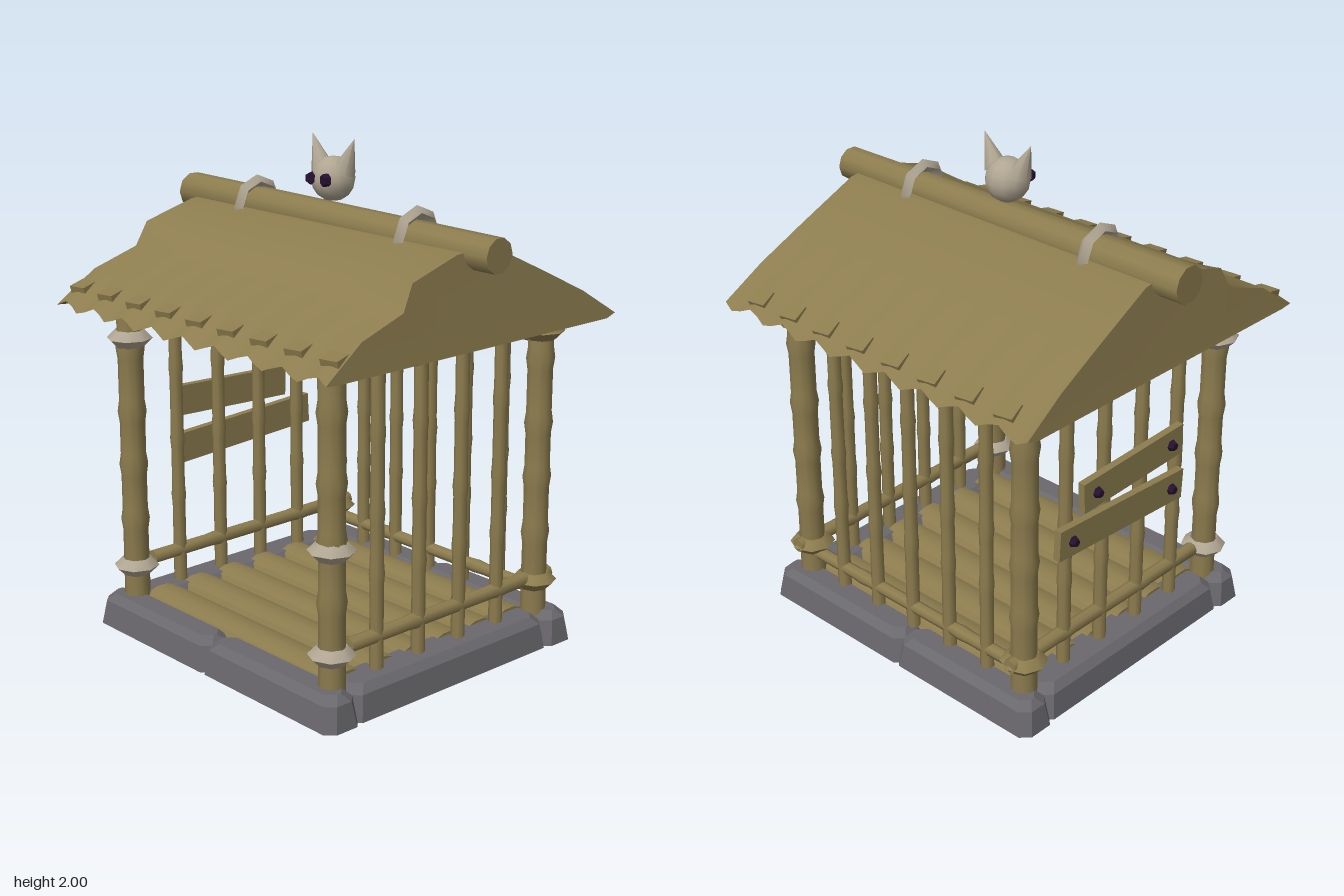
import * as THREE from 'three';
import { toCreasedNormals } from 'three/addons/utils/BufferGeometryUtils.js';

const mat = (name, color) => Object.assign(new THREE.MeshStandardMaterial({ color }), { name });

export function createModel() {
  const root = new THREE.Group();
  const wood = mat('bamboo', 0x8c7c4e);
  const stone = mat('stone', 0x6a686d);
  stone.side = THREE.DoubleSide;
  const bone = mat('bone', 0xb0a592);
  const dark = mat('dark purple', 0x261030);

  const add = (name, geo, material, pos = [0, 0, 0], rot = [0, 0, 0], parent = root, crease = 0.65) => {
    const m = new THREE.Mesh(toCreasedNormals(geo, crease), material);
    m.name = name;
    m.position.set(...pos);
    m.rotation.set(...rot);
    parent.add(m);
  };

  // Bamboo pole along y, from 0 to h, swelling slightly at each joint
  const pole = (r, h, joints, sides = 8) => {
    const pts = [[0, 0], [r, 0]];
    for (const j of joints) pts.push([r * 0.97, j - 0.045], [r * 1.1, j], [r * 0.97, j + 0.045]);
    pts.push([r, h], [0, h]);
    return new THREE.LatheGeometry(pts.map(p => new THREE.Vector2(...p)), sides);
  };
  const addPole = (name, geo, pos, rot) => add(name, geo, wood, pos, rot, root, 1);

  // Base: dark core under a ring of hollow, bevelled stones
  add('baseCore', new THREE.BoxGeometry(1.24, 0.085, 1.15), dark, [0, 0.0545, 0]);
  const stoneGeo = (w, d) => {
    const rings = [[0, 0], [0.1, 0.015], [0.13, 0.042]], v = [], ix = [];
    for (const [y, inset] of rings) {
      const a = w / 2 - inset, b = d / 2 - inset, c = 0.035;
      for (const [x, z] of [[a, b - c], [a, c - b], [a - c, -b], [c - a, -b], [-a, c - b], [-a, b - c], [c - a, b], [a - c, b]])
        v.push(x, y, z);
    }
    for (let r = 0; r < 2; r++) for (let i = 0; i < 8; i++) {
      const p = r * 8 + i, q = r * 8 + (i + 1) % 8;
      ix.push(p, q, q + 8, p, q + 8, p + 8);
    }
    for (let i = 1; i < 7; i++) ix.push(16, 16 + i, 17 + i);
    const g = new THREE.BufferGeometry();
    g.setAttribute('position', new THREE.Float32BufferAttribute(v, 3));
    g.setIndex(ix);
    return g;
  };
  const addStone = (name, w, d, x, z) => add(name, stoneGeo(w, d), stone, [x, 0, z], [0, 0, 0], root, 0.3);
  for (const s of [1, -1]) {
    addStone('baseStone', 0.71, 0.17, -0.355, s * 0.575);
    addStone('baseStone', 0.75, 0.17, 0.335, s * 0.575);
    addStone('sideStone', 0.21, 1.05, s * 0.595, 0);
    add('undersideTrim', new THREE.BoxGeometry(1.0, 0.014, 0.022), stone, [0, 0.008, s * 0.48]);
    add('undersideTrim', new THREE.BoxGeometry(0.022, 0.014, 0.96), stone, [s * 0.49, 0.008, 0]);
  }

  // Floor of split logs running side to side
  for (let i = 0; i < 6; i++) {
    const log = new THREE.CylinderGeometry(0.085, 0.085, 1.12, 10).rotateZ(Math.PI / 2).scale(1, 0.55, 1);
    add('floorLog', log, wood, [0, 0.097, (i - 2.5) * 0.176]);
  }

  // Corner posts with lashings
  const lash = (x, y, z, material) =>
    add('lashing', new THREE.TorusGeometry(0.057, 0.034, 4, 8).rotateX(Math.PI / 2), material, [x, y, z]);
  for (const x of [-0.59, 0.59]) for (const z of [-0.54, 0.54]) {
    addPole('cornerPost', pole(0.052, 1.3, [0.37, 0.6, 0.82, 1.08], 10), [x, 0.08, z]);
    lash(x, 0.25, z, z > 0 ? bone : wood);
    lash(x, z > 0 ? 1.33 : 1.27, z, z > 0 ? bone : wood);
  }
  lash(-0.59, 1.2, 0.54, bone);
  lash(0.59, 0.65, 0.54, bone);

  // Barred walls: back and both sides, open at the front
  const bar = () => pole(0.027, 1.22, [0.38, 0.62, 0.92], 8);
  for (let i = -2; i <= 2; i++) addPole('backBar', bar(), [i * 0.2, 0.12, -0.54]);
  for (const y of [0.21, 1.24])
    addPole('backRail', pole(0.027, 1.26, [0.35, 0.9]), [0.63, y, -0.54], [0, 0, Math.PI / 2]);
  for (const x of [-0.59, 0.59]) {
    for (const z of [0.32, 0.105, -0.11, -0.32]) addPole('sideBar', bar(), [x, 0.12, z]);
    for (const y of [0.26, 1.28])
      addPole('sideRail', pole(0.029, 1.08, [0.3, 0.75]), [x, y, -0.62], [Math.PI / 2, 0, 0]);
  }

  // Two boards nailed across one side
  const board = (y, z, length, tilt) => {
    const g = new THREE.Group();
    g.name = 'nailedBoard';
    g.position.set(-0.64, y, z);
    g.rotation.x = tilt;
    root.add(g);
    add('board', new THREE.BoxGeometry(0.03, 0.125, length), wood, [0, 0, 0], [0, 0, 0], g);
    for (const s of [-1, 1])
      add('nail', new THREE.CylinderGeometry(0.015, 0.025, 0.025, 6), dark,
        [-0.024, 0, s * (length / 2 - 0.07)], [0, 0, Math.PI / 2], g);
  };
  board(0.87, -0.005, 0.57, -0.035);
  board(0.695, -0.065, 0.71, 0.055);

  // Roof: gable profile lofted along x, with ragged eaves and a fold deepening towards the ends
  const profile = [[0.74, 1.335], [0.57, 1.45], [0.37, 1.535], [0.32, 1.585], [0.1, 1.675], [0, 1.685],
    [-0.1, 1.675], [-0.36, 1.55], [-0.56, 1.45], [-0.74, 1.335], [-0.69, 1.345], [0.69, 1.345]];
  const n = profile.length, sections = 34, step = 0.1825;
  const verts = [], index = [];
  for (let j = 0; j <= sections; j++) {
    const t = -1 + 2 * j / sections, end = t ** 6;
    profile.forEach(([z, y], i) => {
      const eave = i === 0 || i === n - 3;
      const wave = eave ? Math.cos((t * 0.785 / step + (z > 0 ? 0 : 0.5)) * Math.PI * 2) : 0;
      const fold = i === 2 || i >= n - 2 ? -0.02 : i === 3 ? 0.025 : 0;
      const yy = y + 0.016 * wave + fold * end;
      verts.push(t * (0.785 - 0.1 * (yy - 1.32)), yy, z - Math.sign(z) * 0.008 * wave);
    });
  }
  for (let j = 0; j < sections; j++) for (let i = 0; i < n; i++) {
    const k = (i + 1) % n;
    const a = j * n + i, b = j * n + k, c = b + n, d = a + n;
    index.push(a, d, c, a, c, b);
  }
  for (const s of [-1, 1]) {
    const o = s > 0 ? sections * n : 0, centre = verts.length / 3;
    verts.push(s * 0.775, 1.4, 0);
    for (let i = 0; i < n; i++) {
      const k = (i + 1) % n;
      index.push(centre, ...(s > 0 ? [o + k, o + i] : [o + i, o + k]));
    }
  }
  const roof = new THREE.BufferGeometry();
  roof.setAttribute('position', new THREE.Float32BufferAttribute(verts, 3));
  roof.setIndex(index);
  add('roof', roof, wood, [0, 0, 0], [0, 0, 0], root, 0.9);

  // Raised tufts along both eaves
  const tuft = () => new THREE.BoxGeometry(0.08, 0.03, 0.07);
  for (let i = -4; i <= 4; i++) add('eaveTuft', tuft(), wood, [i * step, 1.395, 0.65], [0.25, 0.12, 0]);
  for (let i = -4; i < 4; i++) add('eaveTuft', tuft(), wood, [(i + 0.5) * step, 1.375, -0.675], [-0.45, 0.12, 0]);

  // Ridge beam with bone ties
  addPole('ridgeBeam', new THREE.CylinderGeometry(0.066, 0.073, 1.72, 10), [0, 1.68, 0], [0, 0, -Math.PI / 2 - 0.006]);
  for (const x of [-0.45, 0.45])
    add('ridgeTie', new THREE.TorusGeometry(0.093, 0.026, 4, 8).rotateY(Math.PI / 2), bone, [x, 1.68, 0]);

  // Horned skull above the ridge
  const skull = new THREE.Group();
  skull.name = 'skull';
  skull.position.set(0, 1.84, 0);
  root.add(skull);
  add('cranium', new THREE.SphereGeometry(0.086, 12, 8), bone, [0, 0, 0], [0, 0, 0], skull);
  for (const s of [-1, 1]) {
    add('horn', new THREE.ConeGeometry(0.046, 0.14, 7), bone, [s * 0.088, 0.097, 0], [0, 0, -s * 0.42], skull, 1);
    add('eyeSocket', new THREE.CylinderGeometry(0.023, 0.026, 0.025, 6), dark,
      [s * 0.038, 0.005, 0.075], [Math.PI / 2, 0, s * 0.3], skull);
  }
  return root;
}
